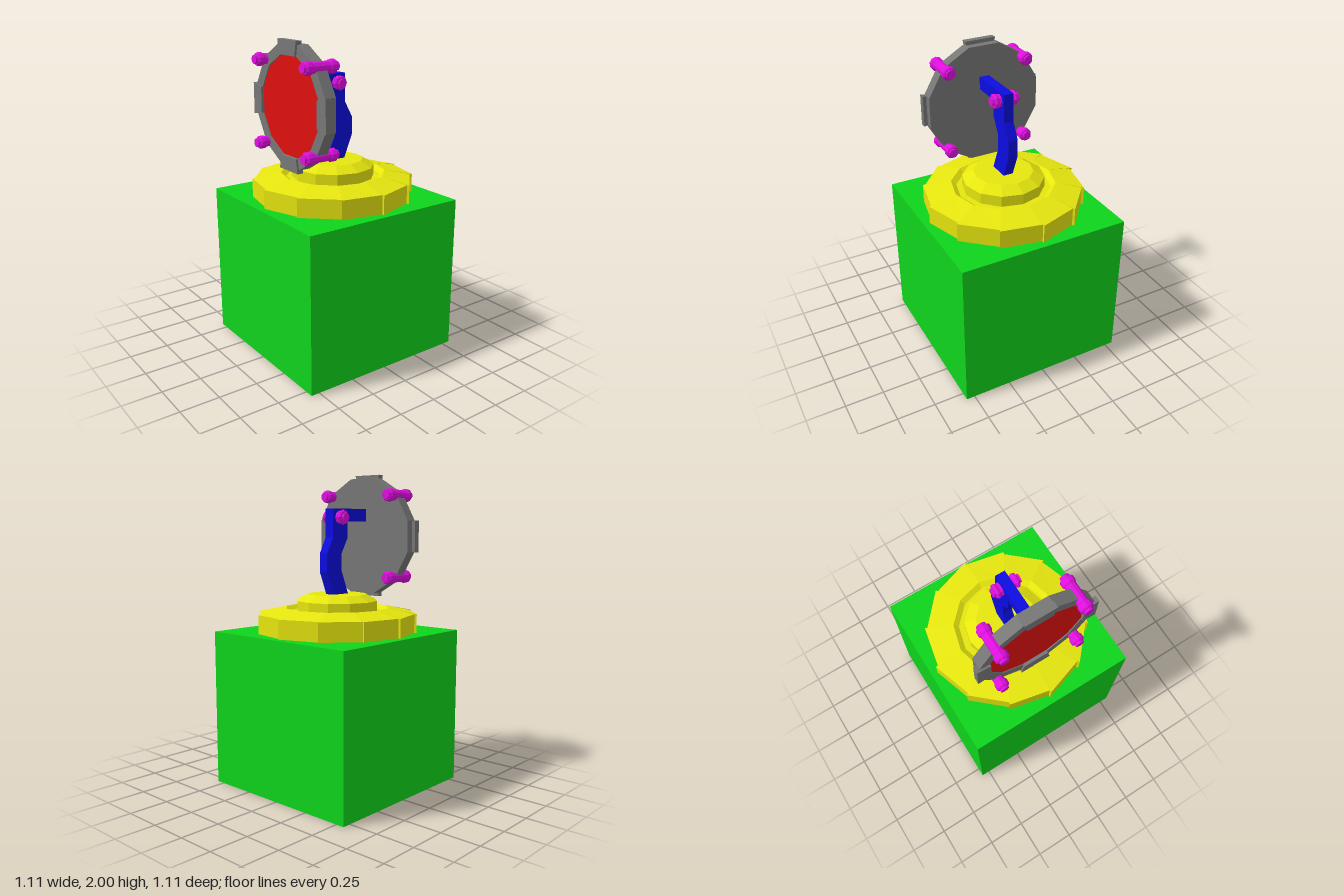
import * as THREE from 'three';

const mat = (color) => new THREE.MeshStandardMaterial({ color, flatShading: true, side: THREE.DoubleSide });
const green = mat(0x0fd41c), yellow = mat(0xe6e60f), blue = mat(0x0c0ce0);
const red = mat(0xe00f0f), grey = mat(0x777777), magenta = mat(0xe010e0);

function add(parent, name, geometry, material, x = 0, y = 0, z = 0) {
  const mesh = new THREE.Mesh(geometry, material);
  mesh.name = name;
  mesh.position.set(x, y, z);
  parent.add(mesh);
  return mesh;
}

const vecs = (pts) => pts.map(([x, y]) => new THREE.Vector2(x, y));
const extrude = (shape, depth) => new THREE.ExtrudeGeometry(shape, { depth, bevelEnabled: false });

// Twelve-sided outline with a flat side on top, sized to the middle of its sides
function twelveSides(apothem) {
  const r = apothem / Math.cos(Math.PI / 12), pts = [];
  for (let i = 0; i < 12; i++) {
    const a = (i + 0.5) * Math.PI / 6;
    pts.push([r * Math.cos(a), r * Math.sin(a)]);
  }
  return vecs(pts);
}

// Base ring whose twelve plates each step out a little at one end
function steppedRing() {
  const levels = [[0.5, 0.515, 1.0], [0.5, 0.515, 1.12], [0.333, 0.333, 1.155]];
  const loops = levels.map(([rIn, rOut, y]) => {
    const loop = [];
    for (let i = 0; i < 12; i++) {
      const a = i * Math.PI / 6;
      for (const r of [rOut, rIn]) loop.push([r * Math.cos(a), y, r * Math.sin(a)]);
    }
    return loop;
  });
  const pos = [];
  for (let k = 0; k < 2; k++) {
    for (let i = 0; i < 24; i++) {
      if (k === 1 && i % 2 === 0) {
        // sliver under the step: one triangle
        pos.push(...loops[1][i], ...loops[2][i], ...loops[1][i + 1]);
        continue;
      }
      const j = (i + 1) % 24;
      const a = loops[k][i], b = loops[k][j], c = loops[k + 1][j], d = loops[k + 1][i];
      pos.push(...a, ...d, ...c, ...a, ...c, ...b);
    }
  }
  const g = new THREE.BufferGeometry();
  g.setAttribute('position', new THREE.Float32BufferAttribute(pos, 3));
  g.computeVertexNormals();
  return g;
}

// Bolt with a collar near each end, lying along y and centred
function bolt(half, shaft, collar, tip, collarLength, sides) {
  const c0 = half - 0.015, c1 = c0 - collarLength, b = 0.008;
  const top = [[shaft, c1 - 0.004], [collar - b, c1 - 0.004], [collar, c1 + b], [collar, c0 - b],
    [collar - b, c0], [tip, c0], [tip, half], [0, half]];
  const bottom = top.map(([r, y]) => [r, -y]).reverse();
  return new THREE.LatheGeometry(vecs([...bottom, ...top]), sides);
}

export function createModel() {
  const model = new THREE.Group();
  model.name = 'dishOnPedestal';

  // Pedestal
  add(model, 'pedestal', new THREE.BoxGeometry(1.11, 1, 1.11), green, 0, 0.5, 0);

  // Turntable: stepped ring, groove and raised hub
  const turntable = new THREE.Group();
  turntable.name = 'turntable';
  model.add(turntable);
  add(turntable, 'baseRing', steppedRing(), yellow);
  add(turntable, 'hub', new THREE.LatheGeometry(vecs([
    [0.333, 1.155], [0.3, 1.13], [0.262, 1.13], [0.262, 1.2], [0.19, 1.24], [0, 1.24],
  ]), 12), yellow);

  // Bent arm, drawn in side profile (z, y)
  const profile = new THREE.Shape(vecs([
    [0.26, 1.78], [-0.07, 1.78], [-0.07, 1.6], [-0.125, 1.5], [-0.125, 1.385], [-0.062, 1.23],
    [0.075, 1.23], [0.01, 1.385], [0.01, 1.5], [0.065, 1.595], [0.065, 1.7], [0.26, 1.7],
  ]));
  add(model, 'arm', extrude(profile, 0.064).translate(0, 0, -0.032).rotateY(-Math.PI / 2), blue);

  // Pivot bolt through the arm
  add(model, 'pivotBolt', bolt(0.09, 0.042, 0.047, 0.028, 0.024, 8).rotateZ(Math.PI / 2), magenta, 0, 1.725, -0.01);

  // Dish: back plate, rim, face and four clamps
  const dish = new THREE.Group();
  dish.name = 'dish';
  dish.position.y = 1.605;
  model.add(dish);
  add(dish, 'backPlate', extrude(new THREE.Shape(twelveSides(0.372)), 0.055), grey, 0, 0, 0.248);
  const rim = new THREE.Shape(twelveSides(0.372));
  rim.holes.push(new THREE.Path(twelveSides(0.305)));
  add(dish, 'rim', extrude(rim, 0.019), grey, 0, 0, 0.303);
  add(dish, 'face', extrude(new THREE.Shape(twelveSides(0.306)), 0.02), red, 0, 0, 0.295);

  const clamp = new THREE.Shape(vecs([[-0.083, 0.305], [0.083, 0.305], [0.1, 0.395], [-0.1, 0.395]]));
  for (let i = 0; i < 4; i++) {
    add(dish, 'clamp', extrude(clamp, 0.04), grey, 0, 0, 0.295).rotation.z = i * Math.PI / 2;
  }

  // Four bolts through the rim
  const rimBolt = bolt(0.122, 0.034, 0.042, 0.028, 0.045, 10).rotateX(Math.PI / 2);
  for (const x of [-0.262, 0.262]) {
    for (const y of [-0.26, 0.26]) add(dish, 'rimBolt', rimBolt, magenta, x, y, 0.283);
  }

  return model;
}
